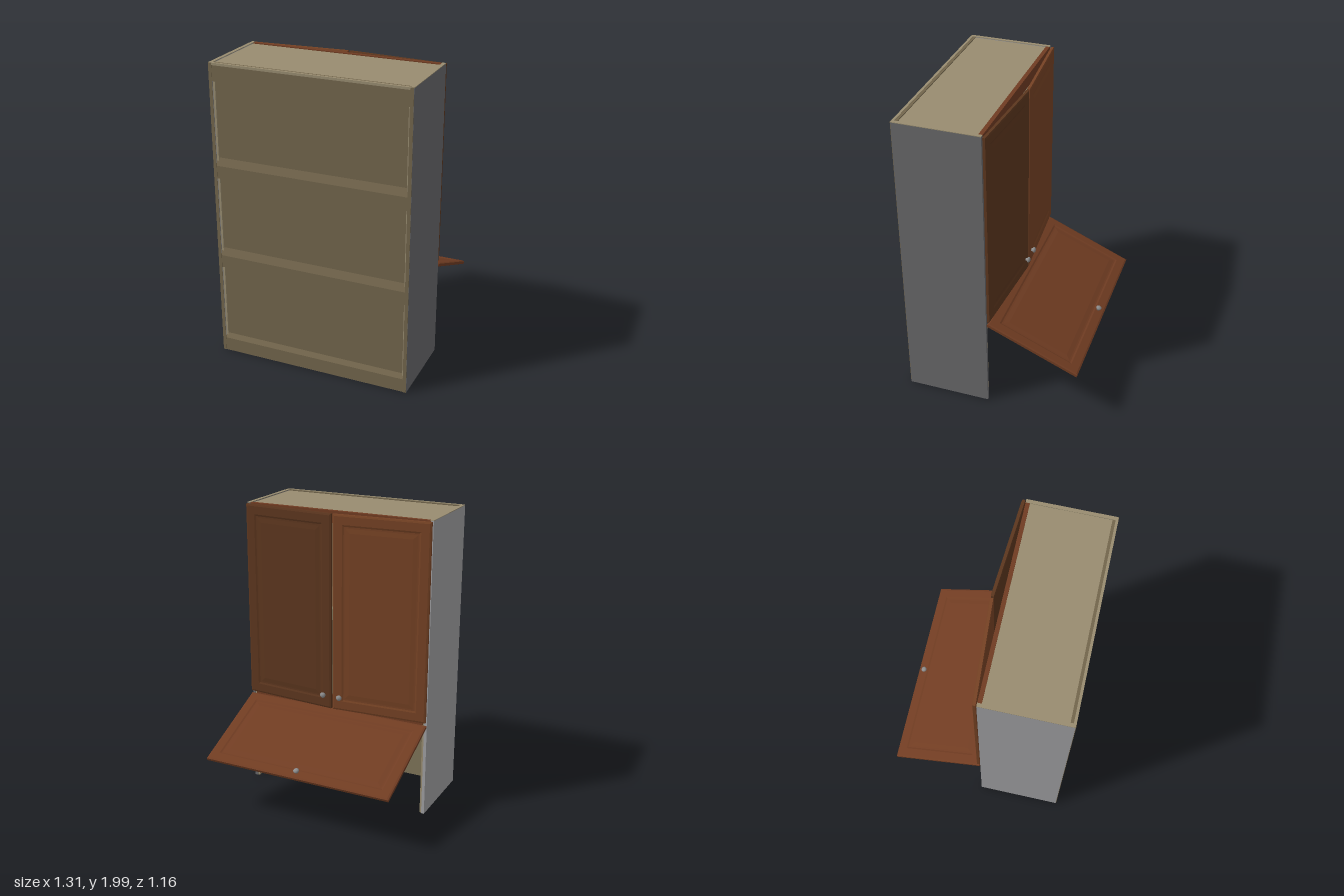
import * as THREE from 'three';

const paint = color => new THREE.MeshStandardMaterial({ color });
const knobGrey = paint(0x8c8c8c);
const wallRight = paint(0x9f9fa1);
const wallLeft = paint(0x68686a);
const frontBeige = paint(0x72654c);
const innerBeige = paint(0x7e7459);
const topBeige = paint(0x988c70);
const flapBrown = paint(0x703c22);
const rightBrown = paint(0x764224);
const leftBrown = paint(0x5c361e);

// Box given by its minimum and maximum corners
function box(name, mat, x0, x1, y0, y1, z0, z1) {
  const mesh = new THREE.Mesh(new THREE.BoxGeometry(x1 - x0, y1 - y0, z1 - z0), mat);
  mesh.position.set((x0 + x1) / 2, (y0 + y1) / 2, (z0 + z1) / 2);
  mesh.name = name;
  return mesh;
}

function rect(C, w, h) {
  return new C([[-w, -h], [w, -h], [w, h], [-w, h]].map(([x, y]) => new THREE.Vector2(x / 2, y / 2)));
}

// Framed door with a shallow raised centre panel, face towards +z, back at z = 0
function panelDoor(name, mat, w, h, frame) {
  const door = new THREE.Group();
  door.name = name;
  const b = 0.011, pw = w - 2 * frame, ph = h - 2 * frame;
  const border = rect(THREE.Shape, w - 2 * b, h - 2 * b);
  border.holes.push(rect(THREE.Path, pw + 2 * b, ph + 2 * b));
  const frameMesh = new THREE.Mesh(new THREE.ExtrudeGeometry(border, {
    depth: 0.017, bevelThickness: 0.004, bevelSize: b, bevelSegments: 1,
  }), mat);
  frameMesh.position.z = 0.004;
  frameMesh.name = 'doorFrame';
  const back = box('doorBack', mat, -pw / 2 - b, pw / 2 + b, -ph / 2 - b, ph / 2 + b, 0.001, 0.021);
  // Centre panel with wide sloping edges
  const raised = new THREE.Mesh(new THREE.ExtrudeGeometry(rect(THREE.Shape, pw - 0.08, ph - 0.08), {
    depth: 0.001, bevelThickness: 0.003, bevelSize: 0.03, bevelSegments: 1,
  }), mat);
  raised.position.z = 0.02;
  raised.name = 'raisedPanel';
  door.add(frameMesh, back, raised);
  return door;
}

// Round knob pointing along +z
function knob(x, y) {
  const points = [[0, 0], [0.01, 0], [0.01, 0.01], [0.018, 0.016], [0.019, 0.024], [0.012, 0.031], [0, 0.033]];
  const mesh = new THREE.Mesh(new THREE.LatheGeometry(points.map(p => new THREE.Vector2(...p)), 16), knobGrey);
  mesh.rotation.x = Math.PI / 2;
  mesh.position.set(x, y, 0.022);
  mesh.name = 'knob';
  return mesh;
}

// Horizontal rail on the panelled front, with sloping top edge
function rail(y0, y1, slope) {
  const length = 1.28;
  const shape = new THREE.Shape([[0.55, y0], [0.582, y0], [0.582, y1 - slope], [0.562, y1], [0.55, y1]]
    .map(p => new THREE.Vector2(...p)));
  const mesh = new THREE.Mesh(new THREE.ExtrudeGeometry(shape, { depth: length, bevelEnabled: false }), frontBeige);
  mesh.rotation.y = -Math.PI / 2;
  mesh.position.x = length / 2;
  mesh.name = 'frontRail';
  return mesh;
}

export function createModel() {
  const model = new THREE.Group();
  model.name = 'cabinet';
  const bottom = 0.013, top = 2;

  // Side walls with beige lining, top rim and front edge, and face frame stiles
  for (const s of [-1, 1]) {
    const side = (name, mat, a, b, ...rest) =>
      model.add(box(name, mat, Math.min(s * a, s * b), Math.max(s * a, s * b), ...rest));
    side('sideWall', s > 0 ? wallLeft : wallRight, 0.635, 0.655, bottom, top - 0.004, 0.03, 0.582);
    side('sideRim', topBeige, 0.632, 0.655, top - 0.004, top, 0.03, 0.582);
    side('sideFrontEdge', frontBeige, 0.632, 0.654, bottom, top, 0.582, 0.585);
    side('sideLining', topBeige, 0.622, 0.636, bottom + 0.002, top - 0.015, 0.034, 0.57);
    side('frameStile', flapBrown, 0.57, 0.625, 0.65, top - 0.014, 0.032, 0.055);
  }

  // Panelled front, with its inner face
  model.add(box('frontPanel', frontBeige, -0.635, 0.635, bottom, top - 0.014, 0.552, 0.562));
  model.add(box('frontLining', innerBeige, -0.63, 0.63, bottom, top - 0.014, 0.545, 0.552));
  model.add(rail(1.885, top - 0.002, 0), rail(1.255, 1.39, 0.05), rail(0.635, 0.77, 0.05), rail(bottom, 0.135, 0.03));

  // Top with a low rim, inner shelves
  model.add(box('topPanel', topBeige, -0.634, 0.634, top - 0.04, top - 0.008, 0.055, 0.57));
  model.add(box('topRim', topBeige, -0.634, 0.634, top - 0.015, top, 0.568, 0.584));
  model.add(box('lowerShelf', innerBeige, -0.625, 0.625, 0.72, 0.75, 0.05, 0.55));
  model.add(box('upperShelf', innerBeige, -0.625, 0.625, 1.31, 1.34, 0.055, 0.55));

  // Face frame rails
  model.add(box('frameTopRail', flapBrown, -0.634, 0.634, 1.92, top - 0.002, 0.03, 0.056));
  model.add(box('frameMiddleRail', flapBrown, -0.625, 0.625, 0.645, 0.745, 0.032, 0.055));

  // Pair of upper doors, slightly ajar in the middle
  for (const s of [-1, 1]) {
    const door = panelDoor(s > 0 ? 'leftDoor' : 'rightDoor', s > 0 ? leftBrown : rightBrown, 0.647, 1.315, 0.075);
    door.add(knob(s * 0.272, -0.565));
    door.position.set(s * 0.328, 1.335, 0.006);
    door.rotation.y = Math.PI - s * 0.07;
    model.add(door);
  }

  // Drop-down flap, hinged under the doors
  const flapHinge = new THREE.Group();
  flapHinge.name = 'flapHinge';
  const flap = panelDoor('flap', flapBrown, 1.31, 0.65, 0.075);
  flap.add(knob(0, 0.277));
  flap.position.y = 0.325;
  flapHinge.add(flap);
  flapHinge.position.set(0, 0.637, 0.03);
  flapHinge.rotation.x = -(Math.PI / 2 + 0.407);
  model.add(flapHinge);

  return model;
}
